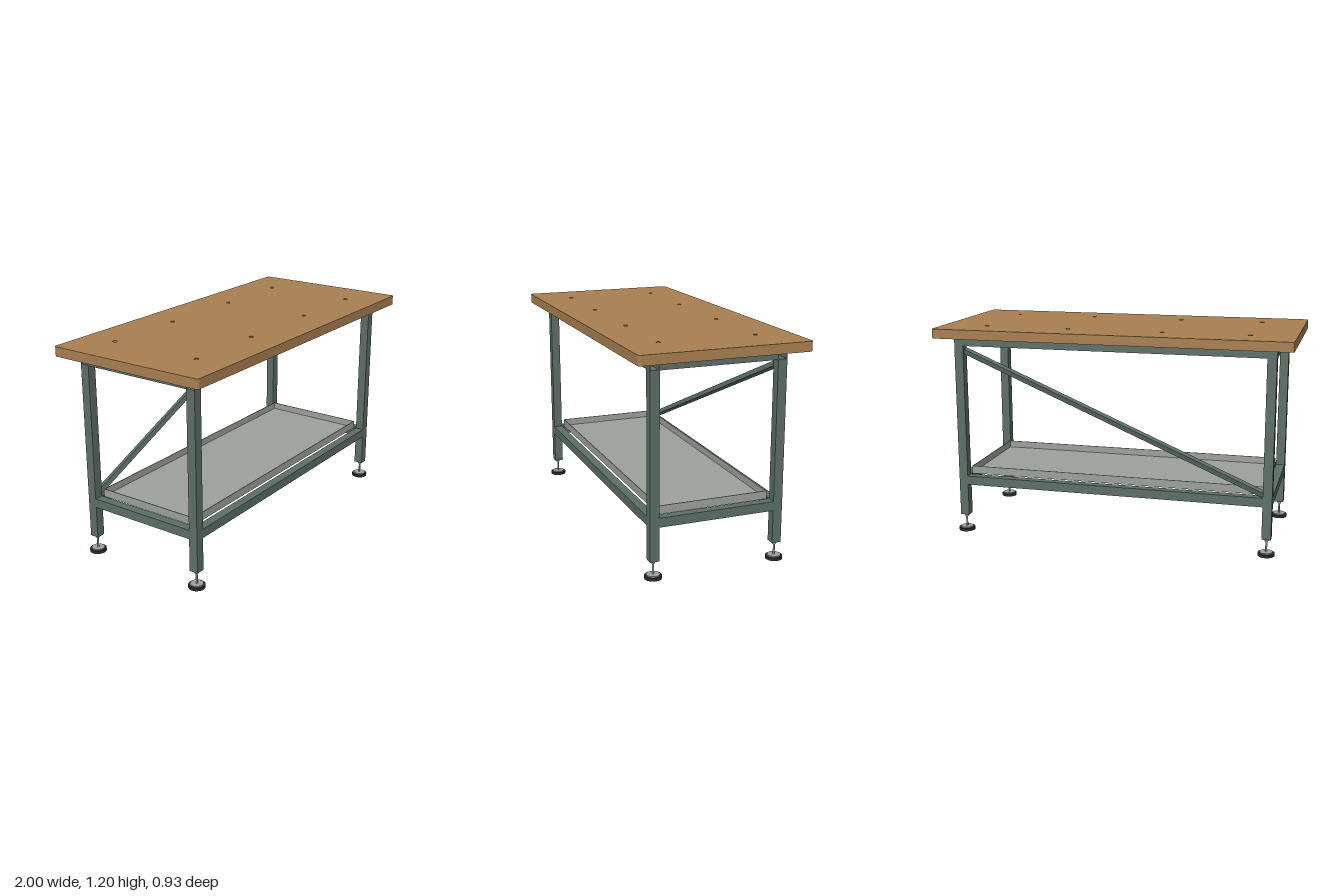
import * as THREE from 'three';

const mat = (name, color, side = THREE.FrontSide) => {
  const m = new THREE.MeshStandardMaterial({ color, side });
  m.name = name;
  return m;
};

export function createModel() {
  const wood = mat('wood', 0xa87f50);
  const paint = mat('green grey paint', 0x5c6e66);
  const sheet = mat('light grey sheet', 0x9da19a);
  const steel = mat('steel', 0x9aa0a2);
  const rubber = mat('black rubber', 0x2b2c2c);

  const model = new THREE.Group();
  model.name = 'workbench';
  const add = (parent, name, geo, material, x = 0, y = 0, z = 0) => {
    const mesh = new THREE.Mesh(geo, material);
    mesh.name = name;
    mesh.position.set(x, y, z);
    parent.add(mesh);
    return mesh;
  };
  const box = (w, h, d) => new THREE.BoxGeometry(w, h, d);
  const cyl = (r, h, n = 24) => new THREE.CylinderGeometry(r, r, h, n);

  // Hollow square tube with open ends, centred, running along one axis
  const T = 0.051;
  const square = (P, s) => new P([[-s, -s], [s, -s], [s, s], [-s, s]].map(p => new THREE.Vector2(...p)));
  const tube = (length, axis) => {
    const s = square(THREE.Shape, T / 2);
    s.holes.push(square(THREE.Path, T / 2 - 0.003));
    const g = new THREE.ExtrudeGeometry(s, { depth: length, bevelEnabled: false });
    g.translate(0, 0, -length / 2);
    if (axis === 'x') g.rotateY(Math.PI / 2);
    if (axis === 'y') g.rotateX(Math.PI / 2);
    return g;
  };

  // Worktop with rounded corners and bolt holes
  const W = 1, D = 0.467, R = 0.018;
  const top = new THREE.Shape();
  top.moveTo(-W + R, -D);
  top.lineTo(W - R, -D);
  top.absarc(W - R, -D + R, R, -Math.PI / 2, 0);
  top.absarc(W - R, D - R, R, 0, Math.PI / 2);
  top.absarc(-W + R, D - R, R, Math.PI / 2, Math.PI);
  top.absarc(-W + R, -D + R, R, Math.PI, Math.PI * 1.5);
  const bolts = [];
  for (const x of [-0.75, -0.27, 0.265, 0.745]) for (const z of [-0.27, 0.267]) bolts.push([x, z]);
  for (const [x, z] of bolts) {
    const hole = new THREE.Path();
    hole.absarc(x, -z, 0.0125, 0, Math.PI * 2, true);
    top.holes.push(hole);
  }
  const topGeo = new THREE.ExtrudeGeometry(top, { depth: 0.053, bevelEnabled: false, curveSegments: 8 });
  topGeo.rotateX(-Math.PI / 2);
  add(model, 'worktop', topGeo, wood, 0, 1.147, 0);

  // Bolts through the worktop and mounting plates beneath it
  for (const [x, z] of bolts) {
    add(model, 'bolt', cyl(0.0122, 0.05, 16), steel, x, 1.172, z);
    add(model, 'boltNut', cyl(0.01, 0.01, 6), steel, x, 1.137, z);
    add(model, 'mountingPlate', box(0.085, 0.006, 0.085), paint, x, 1.1438, Math.sign(z) * 0.28);
  }

  // Legs with levelling feet
  const LX = 0.88, LZ = 0.3475;
  for (const sx of [-1, 1]) for (const sz of [-1, 1]) {
    const leg = new THREE.Group();
    leg.name = 'leg';
    leg.position.set(sx * LX, 0, sz * LZ);
    model.add(leg);
    add(leg, 'legTube', tube(0.998, 'y'), paint, 0, 0.597, 0);
    add(leg, 'legPlug', box(T - 0.006, 0.006, T - 0.006), paint, 0, 0.106, 0);
    add(leg, 'footPad', cyl(0.046, 0.017), rubber, 0, 0.0085, 0);
    add(leg, 'footPlate', cyl(0.036, 0.006), steel, 0, 0.02, 0);
    add(leg, 'footStem', cyl(0.0055, 0.085, 12), steel, 0, 0.0625, 0);
    add(leg, 'footNut', cyl(0.011, 0.009, 6), steel, 0, 0.087, 0);
  }

  // Frame rails
  const topY = 1.1215, lowY = 0.308;
  for (const s of [-1, 1]) {
    add(model, 'topLongRail', tube(1.81, 'x'), paint, 0, topY, s * LZ);
    add(model, 'topSideRail', tube(0.644, 'z'), paint, s * LX, topY, 0);
    add(model, 'lowerLongRail', tube(1.709, 'x'), paint, 0, lowY, s * LZ);
    add(model, 'lowerSideRail', tube(0.644, 'z'), paint, s * LX, lowY, 0);
  }

  // Diagonal brace at the back, slightly twisted about its own axis
  const brace = add(model, 'diagonalBrace', box(1.85, 0.029, 0.029), paint, 0, 0.708, -LZ);
  brace.rotation.set(-0.3, 0, Math.atan2(0.715, 1.7), 'ZYX');

  // Shelf tray with upright lips
  const tray = new THREE.Group();
  tray.name = 'shelfTray';
  model.add(tray);
  const t = 0.005, h = 0.045, tx = 0.852, tz = 0.308;
  add(tray, 'trayBottom', box(tx * 2, t, tz * 2), sheet, 0, 0.333 + t / 2, 0);
  for (const s of [-1, 1]) {
    add(tray, 'trayLongLip', box(tx * 2, h - t, t), sheet, 0, 0.333 + (h + t) / 2, s * (tz - t / 2));
    add(tray, 'traySideLip', box(t, h - t, (tz - t) * 2), sheet, s * (tx - t / 2), 0.333 + (h + t) / 2, 0);
  }

  return model;
}
